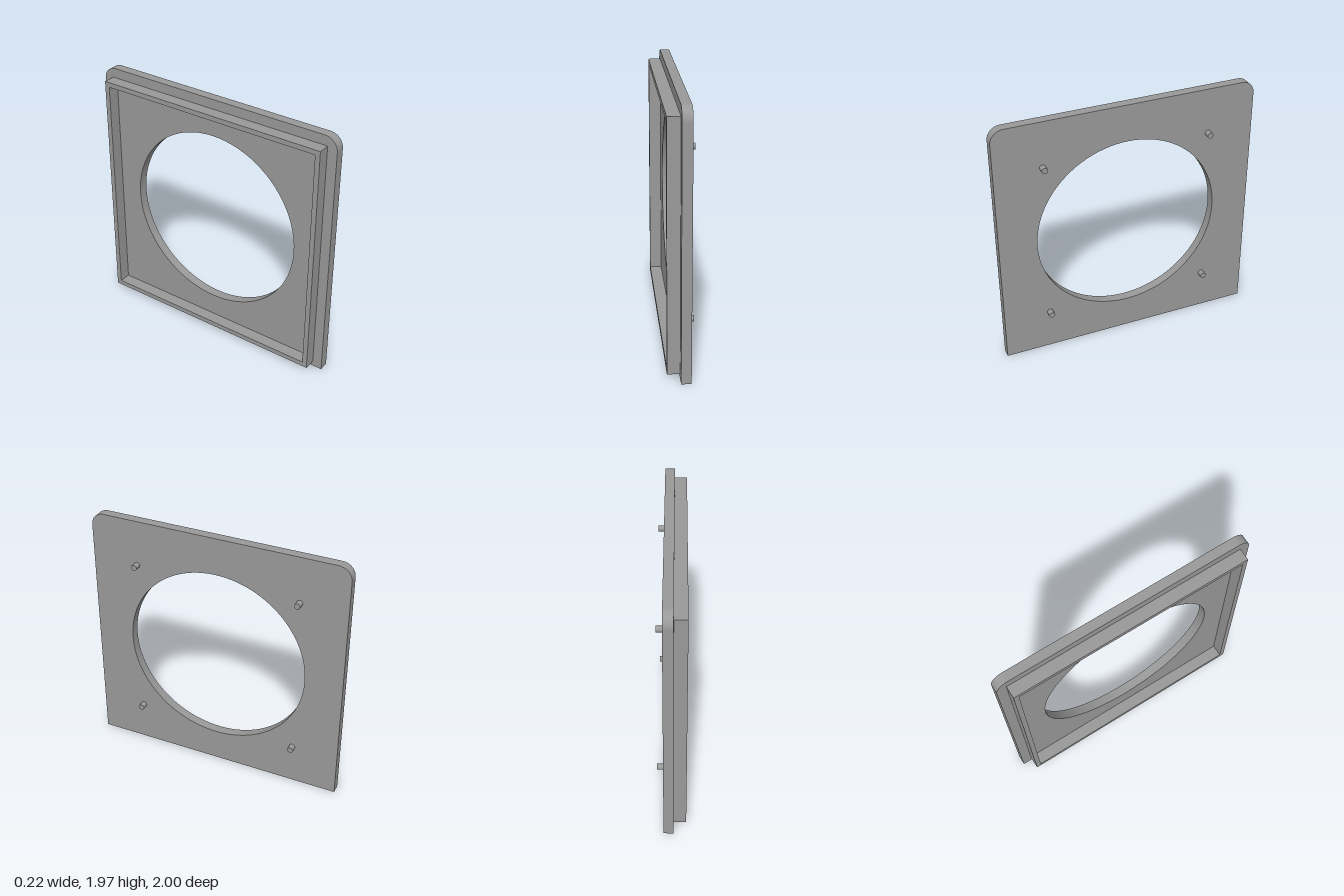
import * as THREE from 'three';
import { toCreasedNormals } from 'three/addons/utils/BufferGeometryUtils.js';

const CENTER_Y = 0.967;

export function createModel() {
  const group = new THREE.Group();
  const grey = new THREE.MeshStandardMaterial({ color: 0x999999 });
  grey.name = 'grey';

  // Extrudes a profile drawn in the z/y plane along x, from x0 to x1
  function addPanel(name, shape, x0, x1) {
    const extruded = new THREE.ExtrudeGeometry(shape, {
      depth: x1 - x0, bevelEnabled: false, curveSegments: 48,
    });
    const geometry = toCreasedNormals(extruded, Math.PI / 6);
    geometry.rotateY(Math.PI / 2).translate(x0, 0, 0);
    const mesh = new THREE.Mesh(geometry, grey);
    mesh.name = name;
    group.add(mesh);
  }

  function rectangle(path, half, bottom, top) {
    path.moveTo(-half, bottom);
    path.lineTo(half, bottom);
    path.lineTo(half, top);
    path.lineTo(-half, top);
    path.closePath();
    return path;
  }

  // Face plate: rounded top corners and a large round opening
  const top = 1.965, r = 0.1;
  const plate = new THREE.Shape();
  plate.moveTo(-1, 0);
  plate.lineTo(1, 0);
  plate.lineTo(1, top - r);
  plate.absarc(1 - r, top - r, r, 0, Math.PI / 2);
  plate.lineTo(-1 + r, top);
  plate.absarc(-1 + r, top - r, r, Math.PI / 2, Math.PI);
  plate.closePath();
  const opening = new THREE.Path();
  opening.absarc(0, CENTER_Y, 0.709, 0, Math.PI * 2, true);
  plate.holes.push(opening);
  addPanel('facePlate', plate, -0.015, 0.058);

  // Thin rectangular rim behind the plate
  const wall = 0.038;
  const rim = rectangle(new THREE.Shape(), 0.925, 0.04, 1.89);
  rim.holes.push(rectangle(new THREE.Path(), 0.925 - wall, 0.04 + wall, 1.89 - wall));
  addPanel('rearRim', rim, -0.108, -0.015);

  // Four locating pins around the opening
  const pinGeometry = new THREE.CylinderGeometry(0.023, 0.023, 0.05, 32).rotateZ(-Math.PI / 2);
  for (const y of [-0.64, 0.64]) {
    for (const z of [-0.64, 0.64]) {
      const pin = new THREE.Mesh(pinGeometry, grey);
      pin.name = 'pin';
      pin.position.set(0.083, CENTER_Y + y, z);
      group.add(pin);
    }
  }
  return group;
}
